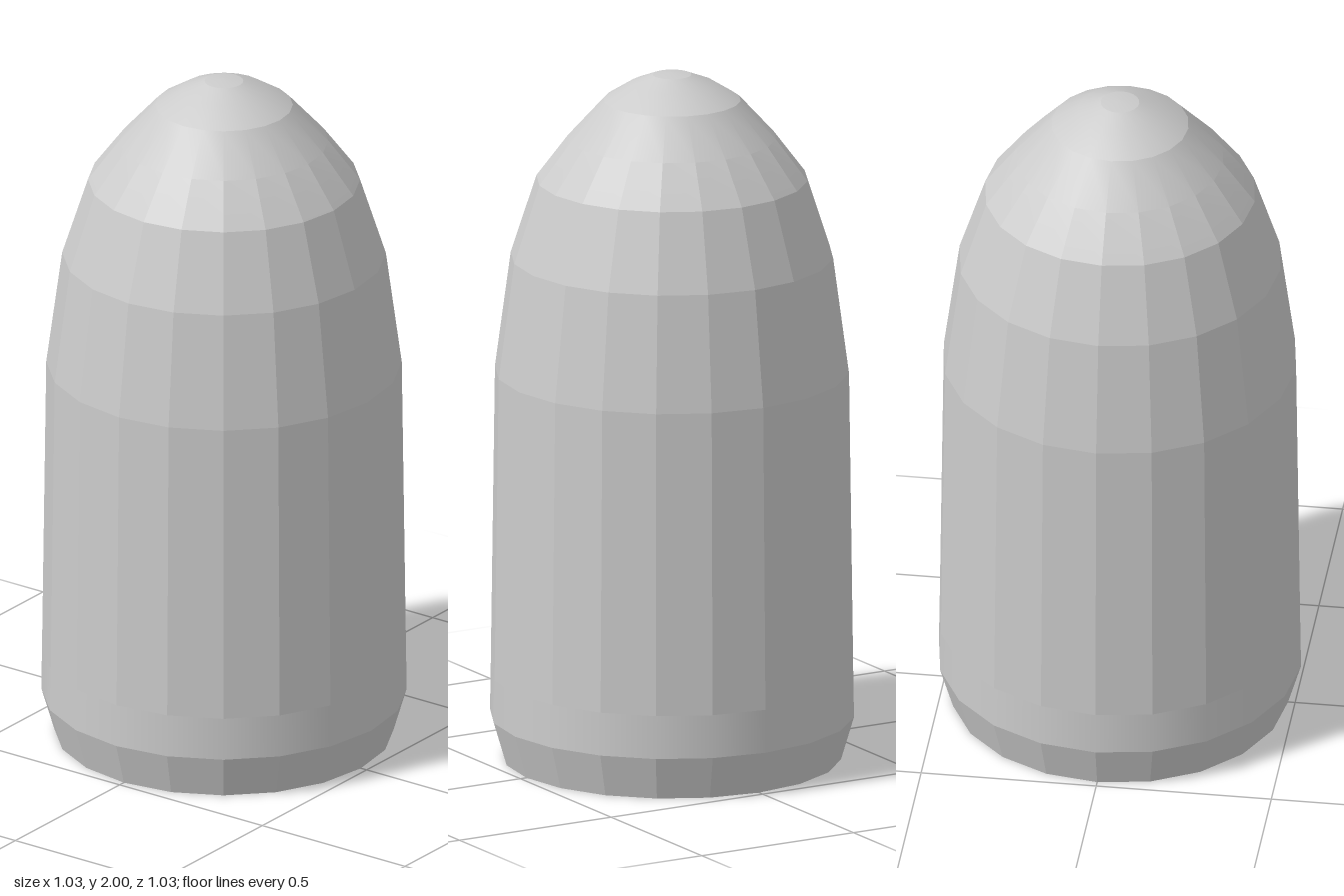
import * as THREE from 'three';
import { toCreasedNormals } from 'three/addons/utils/BufferGeometryUtils.js';

const SIDES = 20;

// Turn a profile of [radius, height] pairs around the y axis
function turned(name, profile, flatShading = false, crease = 0) {
  let geometry = new THREE.LatheGeometry(profile.map(([r, y]) => new THREE.Vector2(r, y)), SIDES);
  if (crease) geometry = toCreasedNormals(geometry, crease);
  const mesh = new THREE.Mesh(geometry, new THREE.MeshStandardMaterial({ color: 0xcccccc, flatShading }));
  mesh.name = name;
  return mesh;
}

export function createModel() {
  const group = new THREE.Group();
  group.name = 'roundNosedSlug';

  // Closed base with its chamfer
  group.add(turned('base', [[0, 0], [0.48, 0], [0.517, 0.125]], true));

  // Smooth band above the chamfer
  group.add(turned('band', [[0.517, 0.125], [0.515, 0.25]]));

  // Faceted body and shoulder
  group.add(turned('body', [[0.515, 0.25], [0.503, 1.13], [0.458, 1.465], [0.385, 1.69]], true));

  // Nose: faceted below, blending into a rounded tip
  group.add(turned('nose', [
    [0.385, 1.69], [0.295, 1.81], [0.195, 1.92],
    [0.12, 1.967], [0.055, 1.993], [0, 2],
  ], false, 0.25));

  return group;
}
